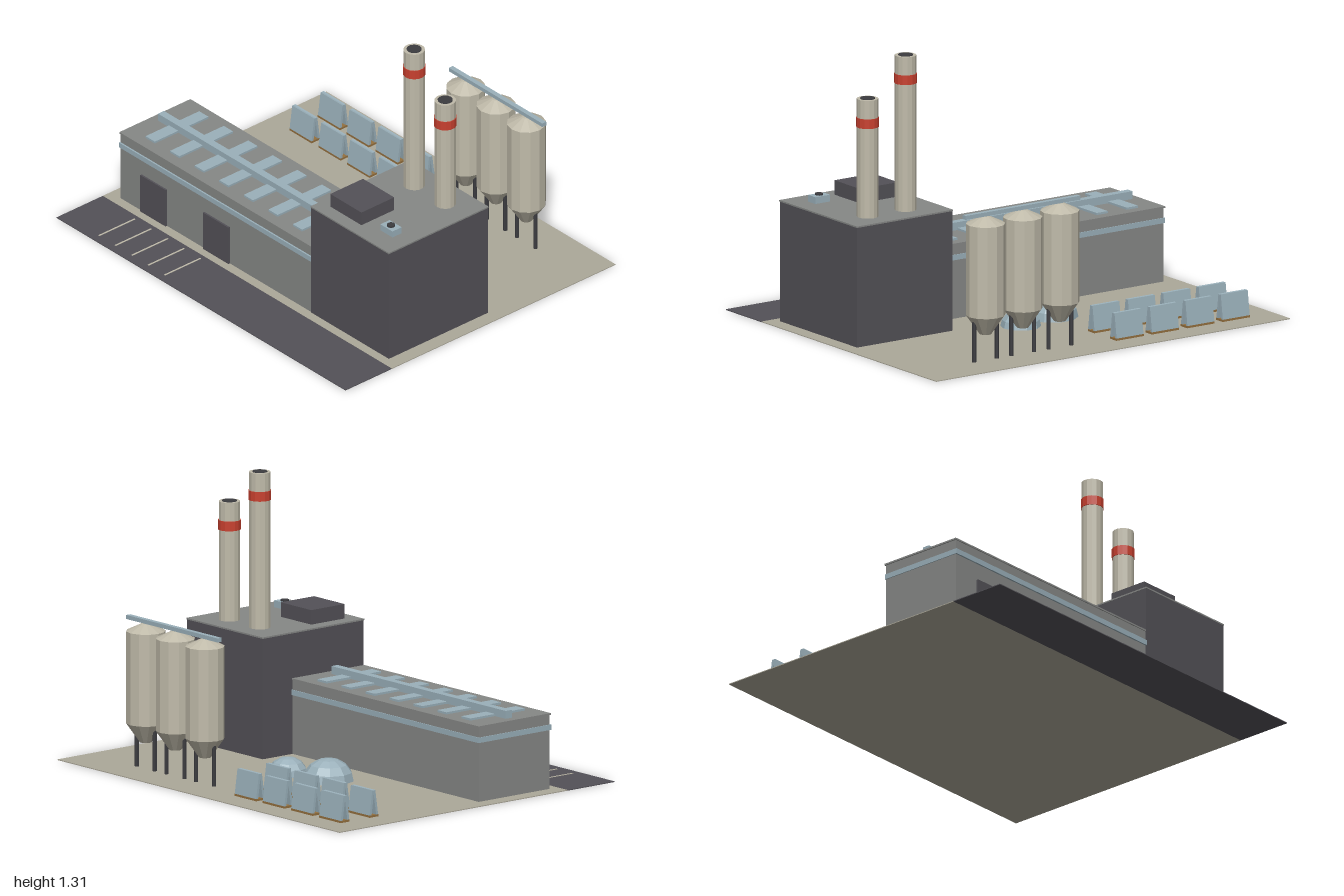
import * as THREE from 'three';

const mat = (name, color, flat = false) => {
  const m = new THREE.MeshStandardMaterial({ color, flatShading: flat });
  m.name = name;
  return m;
};

export function createModel() {
  const sand = mat('sand', 0xaca899);
  const charcoal = mat('charcoal', 0x535157);
  const concrete = mat('concrete', 0x868886);
  const glass = mat('paleBlue', 0x9ab0ba, true);
  const cream = mat('cream', 0xbfbaa9, true);
  const red = mat('red', 0xc8402f, true);
  const wood = mat('wood', 0x94703f);
  const steel = mat('darkSteel', 0x3c3c40, true);

  const model = new THREE.Group();
  model.name = 'factory';

  const group = (name, x = 0, y = 0, z = 0) => {
    const g = new THREE.Group();
    g.name = name;
    g.position.set(x, y, z);
    model.add(g);
    return g;
  };
  const add = (parent, name, geometry, material, x = 0, y = 0, z = 0) => {
    const m = new THREE.Mesh(geometry, material);
    m.name = name;
    m.position.set(x, y, z);
    parent.add(m);
    return m;
  };
  // Box given by its limits on each axis
  const box = (parent, name, material, x0, x1, y0, y1, z0, z1) =>
    add(parent, name, new THREE.BoxGeometry(x1 - x0, y1 - y0, z1 - z0), material,
      (x0 + x1) / 2, (y0 + y1) / 2, (z0 + z1) / 2);

  // Yard, road and parking lines
  const site = group('site');
  box(site, 'yard', sand, -1, 1, 0, 0.004, -0.825, 0.543);
  box(site, 'road', charcoal, -1, 1, 0, 0.004, 0.543, 0.825);
  for (let i = 0; i < 5; i++) {
    const x = -0.755 + i * 0.114;
    box(site, 'parkingLine', cream, x, x + 0.008, 0.004, 0.006, 0.567, 0.787);
  }

  // Long hall with window band, doors and skylights
  const hall = group('hall');
  box(hall, 'hallWalls', concrete, -0.93, 0.39, 0.002, 0.352, 0.07, 0.495);
  box(hall, 'hallRoof', concrete, -0.935, 0.39, 0.352, 0.36, 0.065, 0.499);
  box(hall, 'windowBand', glass, -0.934, 0.392, 0.281, 0.306, 0.066, 0.503);
  for (const x of [-0.785, -0.35]) box(hall, 'door', charcoal, x, x + 0.175, 0.004, 0.2, 0.49, 0.504);
  for (let i = 0; i < 7; i++) {
    const x = -0.785 + i * 0.17;
    box(hall, 'skylight', glass, x - 0.032, x + 0.032, 0.358, 0.37, 0.115, 0.443);
  }
  box(hall, 'roofDuct', glass, -0.893, 0.343, 0.36, 0.397, 0.263, 0.3);

  // Tall furnace block with rooftop units
  const block = group('furnaceBlock');
  box(block, 'blockWalls', charcoal, 0.392, 0.93, 0.002, 0.57, -0.108, 0.498);
  box(block, 'blockRoof', concrete, 0.39, 0.932, 0.57, 0.577, -0.11, 0.5);
  box(block, 'roofHousing', charcoal, 0.452, 0.668, 0.575, 0.645, 0.234, 0.434);
  box(block, 'ventUnit', glass, 0.758, 0.842, 0.575, 0.609, 0.342, 0.398);
  add(block, 'ventFan', new THREE.CylinderGeometry(0.019, 0.019, 0.01, 10), steel, 0.8, 0.612, 0.37);

  // Chimneys with a red band and dark flue
  for (const [x, top, band] of [[0.564, 1.308, 1.2], [0.779, 1.134, 1.024]]) {
    const c = group('chimney', x, 0, 0.02);
    const h = top - 0.57;
    add(c, 'stack', new THREE.CylinderGeometry(0.05, 0.05, h, 14), cream, 0, 0.57 + h / 2);
    add(c, 'stackBand', new THREE.CylinderGeometry(0.053, 0.053, 0.045, 14), red, 0, band);
    add(c, 'flue', new THREE.CylinderGeometry(0.035, 0.035, 0.006, 14), steel, 0, top);
  }

  // Silos on paired legs, linked by a conveyor
  const profile = [[0, 0.13], [0.028, 0.13], [0.091, 0.22], [0.091, 0.652], [0.02, 0.686], [0, 0.688]]
    .map(([r, y]) => new THREE.Vector2(r, y));
  for (let i = 0; i < 3; i++) {
    const s = group('silo', 0.17 + i * 0.21, 0, -0.643);
    add(s, 'siloBody', new THREE.LatheGeometry(profile, 12), cream);
    for (const side of [-1, 1]) {
      add(s, 'siloLeg', new THREE.CylinderGeometry(0.01, 0.01, 0.195, 6), steel, side * 0.064, 0.1);
    }
  }
  box(group('conveyor'), 'conveyorBeam', glass, 0.064, 0.712, 0.688, 0.707, -0.657, -0.633);

  // Faceted heaps of raw material
  for (const [x, z, r, h] of [[-0.135, -0.16, 0.12, 0.105], [0.085, -0.218, 0.094, 0.082]]) {
    const heap = add(model, 'heap', new THREE.SphereGeometry(1, 10, 4, 0, Math.PI * 2, 0, Math.PI / 2),
      glass, x, 0.003, z);
    heap.scale.set(r, h, r);
  }

  // Racks of glass sheets leaning together on wooden bases
  for (const z of [-0.675, -0.502]) {
    for (let i = 0; i < 4; i++) {
      const rack = group('glassRack', -0.785 + i * 0.2, 0, z);
      box(rack, 'rackBase', wood, -0.077, 0.077, 0.002, 0.014, -0.026, 0.026);
      for (const side of [-1, 1]) {
        const sheet = add(rack, 'glassSheet', new THREE.BoxGeometry(0.152, 0.118, 0.012), glass,
          0, 0.071, side * 0.0115);
        sheet.rotation.x = -side * 0.14;
      }
    }
  }
  return model;
}
